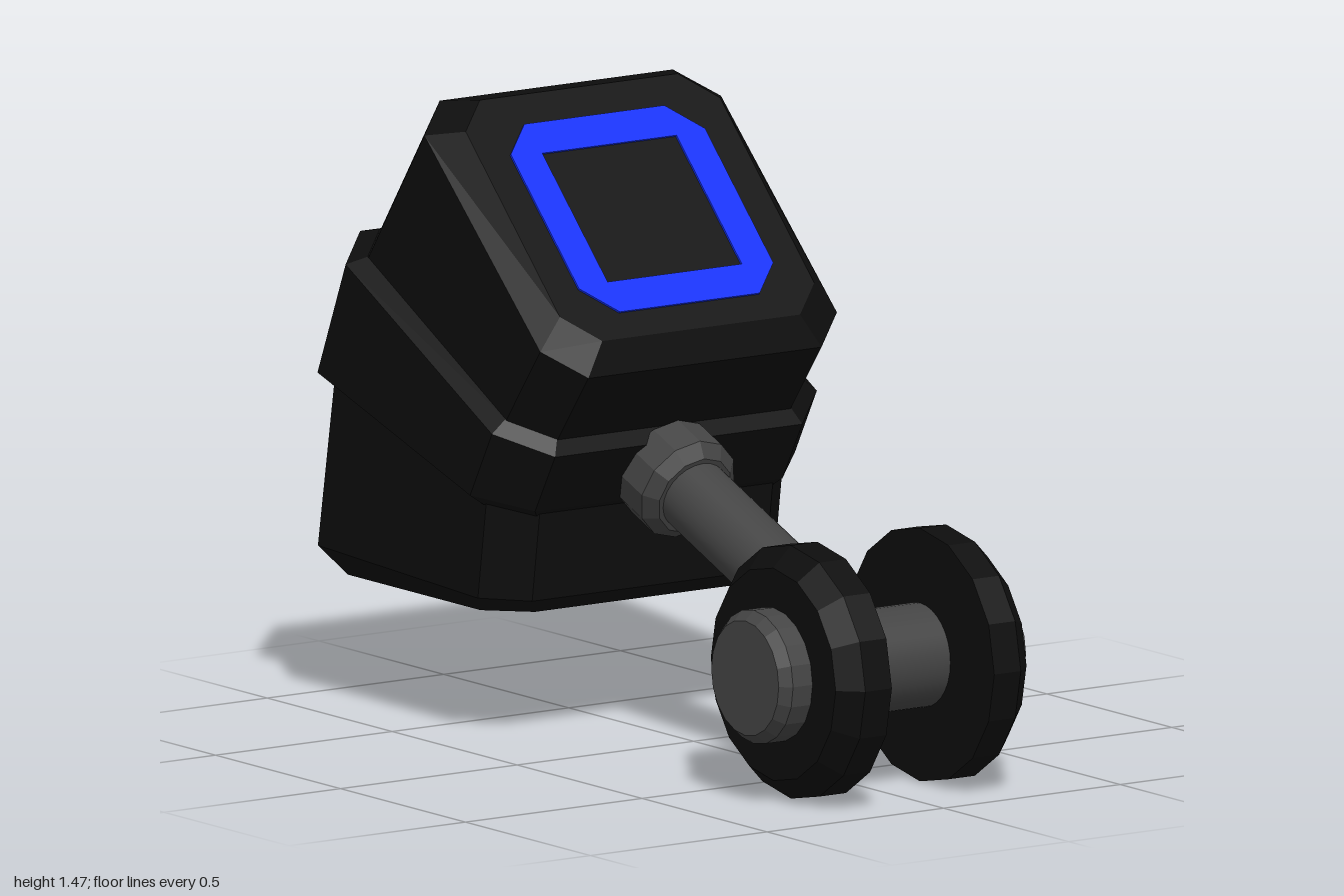
import * as THREE from 'three';

const mat = (color, flatShading = true) => new THREE.MeshStandardMaterial({ color, flatShading });
const BLACK = mat(0x0d0d0d);
const GREY = mat(0x444444);
const BLUE = mat(0x1030ff);

function add(parent, name, geometry, material) {
  const mesh = new THREE.Mesh(geometry, material);
  mesh.name = name;
  parent.add(mesh);
  return mesh;
}

// Octagonal ring: a rectangle with cut corners, spanning a..b in the xy plane, half depth h, cut c
function ring([ax, ay, bx, by, h, c]) {
  const mx = (ax + bx) / 2, my = (ay + by) / 2;
  const L = Math.hypot(bx - ax, by - ay) / 2;
  const ux = (bx - mx) / L, uy = (by - my) / L;
  return [
    [-L + c, h], [L - c, h], [L, h - c], [L, c - h],
    [L - c, -h], [-L + c, -h], [-L, c - h], [-L, h - c],
  ].map(([s, z]) => [mx + s * ux, my + s * uy, z]);
}

// Closed hull through rings listed from bottom to top
function hull(sections) {
  const rings = sections.map(ring), n = 8, index = [];
  for (let r = 0; r < rings.length - 1; r++) {
    for (let i = 0; i < n; i++) {
      const j = (i + 1) % n, a = r * n + i, b = r * n + j;
      index.push(a, b, b + n, a, b + n, a + n);
    }
  }
  const top = (rings.length - 1) * n;
  for (let i = 1; i < n - 1; i++) {
    index.push(0, i + 1, i, top, top + i, top + i + 1);
  }
  const g = new THREE.BufferGeometry();
  g.setAttribute('position', new THREE.Float32BufferAttribute(rings.flat(2), 3));
  g.setIndex(index);
  const flat = g.toNonIndexed();
  flat.computeVertexNormals();
  return flat;
}

// Cut-corner frame with a rectangular opening, facing +z before placement
function frameGeometry() {
  const w = 0.27, h = 0.275, c = 0.077;
  const shape = new THREE.Shape([
    [-w + c, -h], [w - c, -h], [w, c - h], [w, h - c],
    [w - c, h], [-w + c, h], [-w, h - c], [-w, c - h],
  ].map(p => new THREE.Vector2(...p)));
  shape.holes.push(new THREE.Path([
    [-0.185, -0.19], [-0.185, 0.19], [0.185, 0.19], [0.185, -0.19],
  ].map(p => new THREE.Vector2(...p))));
  return new THREE.ExtrudeGeometry(shape, { depth: 0.012, bevelEnabled: false });
}

const lathe = (points, sides) =>
  new THREE.LatheGeometry(points.map(p => new THREE.Vector2(...p)), sides);

export function createModel() {
  const model = new THREE.Group();
  model.name = 'pedalArm';

  // Body: lower hull, wider middle band, upper hull
  const body = new THREE.Group();
  body.name = 'body';
  model.add(body);
  add(body, 'lowerHull', hull([
    [-0.95, 0.30, -0.24, 0.30, 0.37, 0.09],
    [-1.00, 0.37, -0.18, 0.34, 0.42, 0.09],
    [-0.93, 0.79, -0.15, 0.55, 0.42, 0.09],
  ]), BLACK);
  add(body, 'middleBand', hull([
    [-0.93, 0.78, -0.16, 0.54, 0.42, 0.09],
    [-0.96, 0.82, -0.14, 0.56, 0.46, 0.11],
    [-0.84, 1.11, -0.06, 0.70, 0.46, 0.11],
    [-0.79, 1.12, -0.08, 0.74, 0.42, 0.09],
  ]), BLACK);
  add(body, 'upperHull', hull([
    [-0.80, 1.10, -0.09, 0.72, 0.42, 0.09],
    [-0.55, 1.46, 0.045, 0.90, 0.42, 0.09],
    [-0.46, 1.47, 0.03, 0.98, 0.36, 0.08],
  ]), BLACK);

  // Blue frames on the sloping top face and on the underside
  const topFrame = add(body, 'topFrame', frameGeometry(), BLUE);
  topFrame.rotation.set(-Math.PI / 2, Math.PI / 4, 0, 'ZYX');
  topFrame.quaternion.setFromRotationMatrix(new THREE.Matrix4().makeBasis(
    new THREE.Vector3(1, -1, 0).normalize(),
    new THREE.Vector3(0, 0, -1),
    new THREE.Vector3(1, 1, 0).normalize()));
  topFrame.position.set(-0.215, 1.215, 0);
  const bottomFrame = add(body, 'bottomFrame', frameGeometry(), BLUE);
  bottomFrame.rotation.x = Math.PI / 2;
  bottomFrame.position.set(-0.595, 0.305, 0);

  // Arm with its collar, sloping down to the axle
  const arm = new THREE.Group();
  arm.name = 'arm';
  arm.position.set(-0.13, 0.635, 0);
  arm.rotation.z = -Math.PI / 2 - Math.atan2(0.335, 0.83);
  model.add(arm);
  const stem = new THREE.CylinderGeometry(0.087, 0.087, 0.88, 24);
  add(arm, 'stem', stem.translate(0, 0.44, 0), mat(0x444444, false));
  add(arm, 'collar', lathe(
    [[0, 0], [0.10, 0], [0.13, 0.02], [0.13, 0.115], [0.10, 0.145], [0, 0.145]], 12), GREY);

  // Axle and the mirrored wheels with hub caps
  const wheels = new THREE.Group();
  wheels.name = 'wheelSet';
  wheels.position.set(0.7, 0.3, 0);
  model.add(wheels);
  const axle = add(wheels, 'axle', new THREE.CylinderGeometry(0.122, 0.122, 0.5, 32), mat(0x444444, false));
  axle.rotation.x = Math.PI / 2;
  for (const side of [1, -1]) {
    const wheel = new THREE.Group();
    wheel.name = side > 0 ? 'frontWheel' : 'backWheel';
    wheel.rotation.x = side * Math.PI / 2;
    wheels.add(wheel);
    add(wheel, 'tyre', lathe(
      [[0, 0.145], [0.298, 0.145], [0.298, 0.22], [0.25, 0.27], [0, 0.27]], 16), BLACK);
    add(wheel, 'hubCap', lathe(
      [[0, 0.25], [0.157, 0.25], [0.157, 0.325], [0.135, 0.35], [0, 0.35]], 20), GREY);
  }
  return model;
}
